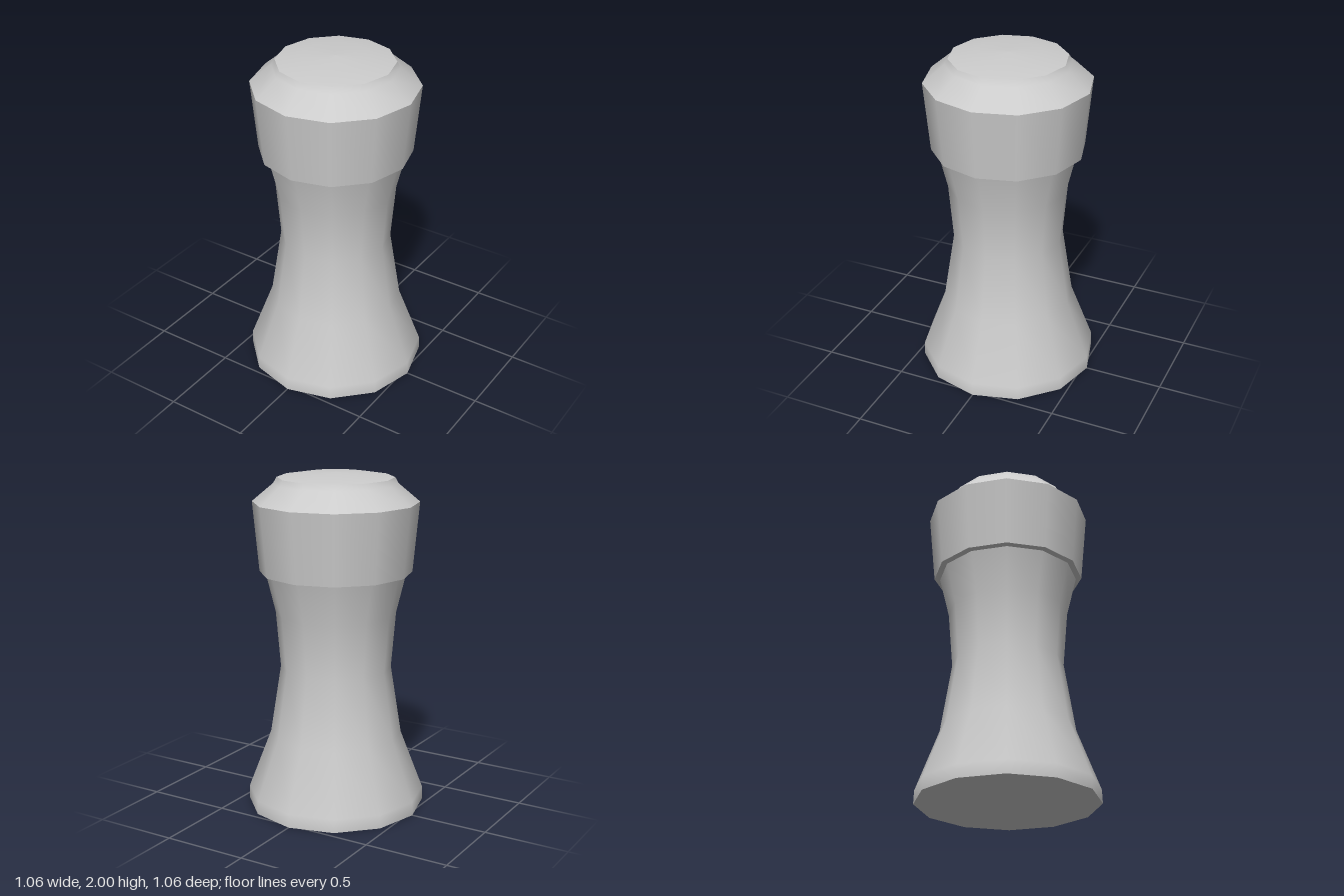
import * as THREE from 'three';

const SIDES = 12;

export function createModel() {
  const group = new THREE.Group();
  const material = new THREE.MeshStandardMaterial({ color: 0xcccccc });

  // Each band is smooth within itself and meets its neighbours at a sharp edge.
  // Profiles are [radius, height], running from bottom to top.
  const bands = {
    baseUnderside: [[0, 0], [0.53, 0]],
    waistedBody: [[0.53, 0], [0.527, 0.08], [0.392, 0.435], [0.328, 0.845], [0.355, 1.175], [0.413, 1.415]],
    collarUnderside: [[0.413, 1.415], [0.447, 1.42]],
    collar: [[0.447, 1.42], [0.485, 1.83]],
    shoulder: [[0.485, 1.83], [0.36, 1.935], [0.34, 1.97]],
    domedTop: [[0.34, 1.97], [0.2, 1.992], [0, 2]],
  };

  for (const [name, profile] of Object.entries(bands)) {
    const points = profile.map(([r, y]) => new THREE.Vector2(r, y));
    const mesh = new THREE.Mesh(new THREE.LatheGeometry(points, SIDES), material);
    mesh.name = name;
    group.add(mesh);
  }
  return group;
}
